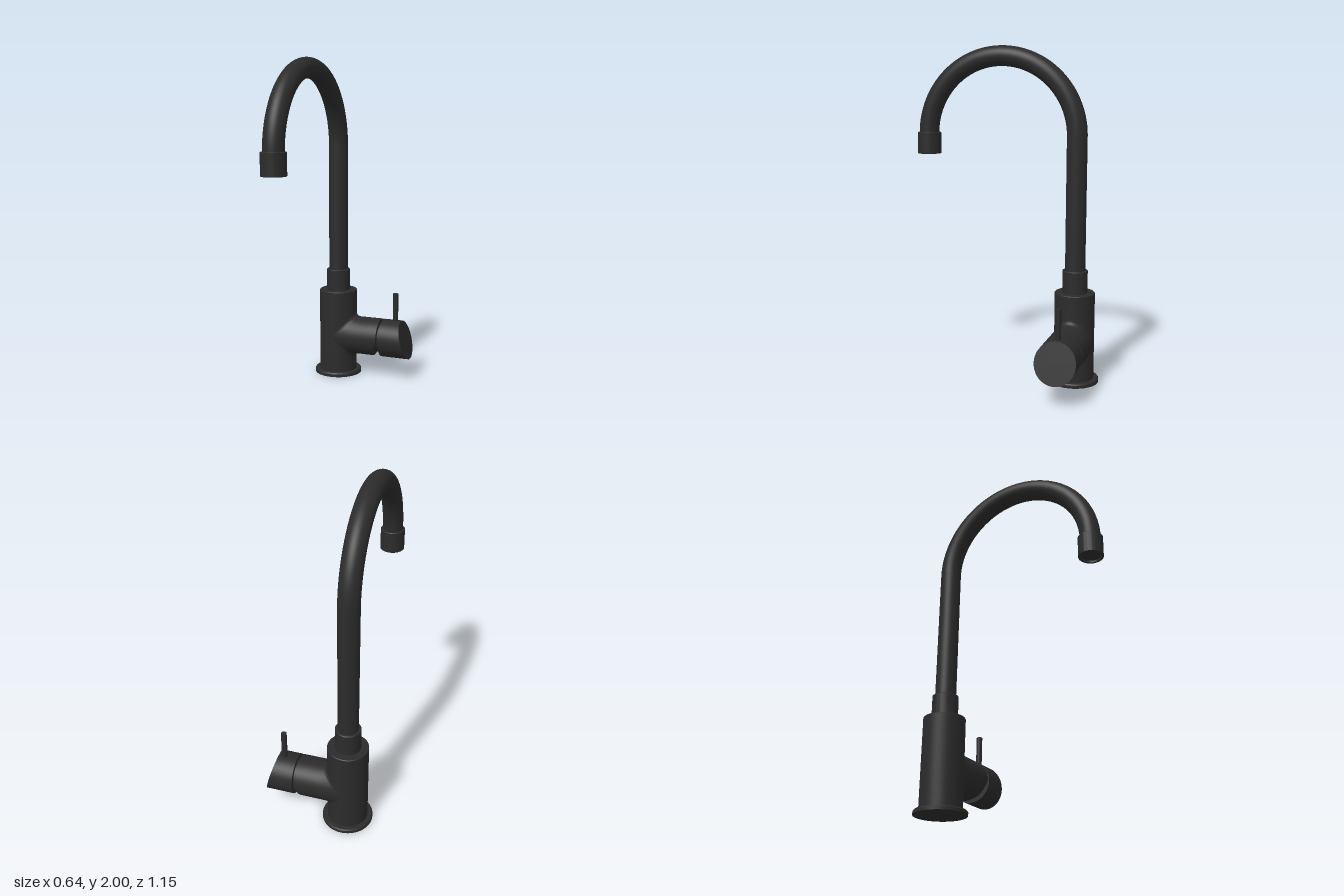
import * as THREE from 'three';
import { toCreasedNormals } from 'three/addons/utils/BufferGeometryUtils.js';

const SEG = 64;
const AXIS_X = -0.17, AXIS_Z = -0.425; // column axis
const BODY_R = 0.12, BRANCH_Y = 0.255;

// Turned part from [radius, height] pairs, with sharp edges kept
function turned(points) {
  const profile = points.map(([r, y]) => new THREE.Vector2(r, y));
  return toCreasedNormals(new THREE.LatheGeometry(profile, SEG), 0.6);
}

// Side branch: filleted saddle against the column, free end cut back below its middle
function branchGeometry() {
  const fillet = 0.03, end = 0.295, steps = 8;
  const pos = [], idx = [];
  const rings = steps + 4;
  const endX = (y) => end + Math.min(0, y) * 0.35;
  const ring = (fn) => {
    for (let i = 0; i < SEG; i++) {
      const a = (i / SEG) * Math.PI * 2;
      pos.push(...fn(Math.cos(a), Math.sin(a)));
    }
  };
  for (let j = 0; j <= steps; j++) {
    const t = (j / steps) * Math.PI / 2;
    ring((c, s) => [
      Math.abs(c) * (BODY_R + fillet * (1 - Math.cos(t))),
      c * (BODY_R + fillet * (1 - Math.sin(t))),
      s * BODY_R,
    ]);
  }
  for (let k = 1; k <= 3; k++) {
    ring((c, s) => {
      const start = Math.abs(c) * (BODY_R + fillet), y = c * BODY_R;
      return [start + (endX(y) - start) * k / 3, y, s * BODY_R];
    });
  }
  for (let j = 0; j < rings - 1; j++) {
    for (let i = 0; i < SEG; i++) {
      const n = (i + 1) % SEG;
      const a = j * SEG + i, b = j * SEG + n, c = a + SEG, d = b + SEG;
      idx.push(a, b, c, b, d, c);
    }
  }
  // End face as a fan around the fold line
  const last = (rings - 1) * SEG, centre = pos.length / 3;
  pos.push(end, 0, 0);
  for (let i = 0; i < SEG; i++) idx.push(centre, last + i, last + (i + 1) % SEG);
  const g = new THREE.BufferGeometry();
  g.setAttribute('position', new THREE.Float32BufferAttribute(pos, 3));
  g.setIndex(idx);
  return toCreasedNormals(g, 0.6);
}

// Handle cap: cylinder along x with a slanted outer face
function handleCapGeometry() {
  const g = new THREE.CylinderGeometry(BODY_R, BODY_R, 0.148, SEG);
  g.rotateZ(-Math.PI / 2);
  const p = g.attributes.position;
  for (let i = 0; i < p.count; i++) {
    if (p.getX(i) > 0) p.setX(i, p.getX(i) - p.getY(i) * 0.26);
  }
  return toCreasedNormals(g, 0.6);
}

export function createModel() {
  const group = new THREE.Group();
  const black = new THREE.MeshStandardMaterial({ color: 0x2b2b2b });
  black.name = 'matte black';

  const add = (name, geometry, x, y, z) => {
    const mesh = new THREE.Mesh(geometry, black);
    mesh.name = name;
    mesh.position.set(x, y, z);
    group.add(mesh);
  };

  // Column
  add('baseFlange', turned([[0, 0], [0.15, 0], [0.15, 0.018], [0.144, 0.025], [0, 0.025]]), AXIS_X, 0, AXIS_Z);
  add('body', turned([[0, 0.02], [BODY_R, 0.02], [BODY_R, 0.546], [0.116, 0.55], [0, 0.55]]), AXIS_X, 0, AXIS_Z);
  add('collar', turned([[0.075, 0.545], [0.075, 0.681], [0.071, 0.685], [0, 0.685]]), AXIS_X, 0, AXIS_Z);

  // Spout: straight riser, half-circle bend and outlet
  const bendR = 0.465, bendY = 1.475, tubeR = 0.06;
  const riser = new THREE.CylinderGeometry(tubeR, tubeR, bendY - 0.68, SEG, 1, true);
  add('spoutRiser', riser, AXIS_X, (bendY + 0.68) / 2, AXIS_Z);
  const bend = new THREE.TorusGeometry(bendR, tubeR, SEG, 96, Math.PI);
  bend.rotateY(Math.PI / 2);
  add('spoutBend', bend, AXIS_X, bendY, AXIS_Z + bendR);
  const outlet = turned([
    [0, 0.012], [0.058, 0.012], [0.058, 0], [0.069, 0], [0.072, 0.003],
    [0.072, 0.127], [0.069, 0.13], [0, 0.13],
  ]);
  add('outlet', outlet, AXIS_X, 1.355, AXIS_Z + 2 * bendR);

  // Side valve and handle
  add('sideBranch', branchGeometry(), AXIS_X, BRANCH_Y, AXIS_Z);
  const neck = new THREE.CylinderGeometry(0.095, 0.095, 0.1, SEG);
  neck.rotateZ(Math.PI / 2);
  add('valveNeck', neck, 0.1, BRANCH_Y, AXIS_Z);
  add('handleCap', handleCapGeometry(), 0.214, BRANCH_Y, AXIS_Z);
  add('lever', new THREE.CylinderGeometry(0.017, 0.017, 0.19, 32), 0.22, 0.455, AXIS_Z);

  return group;
}
